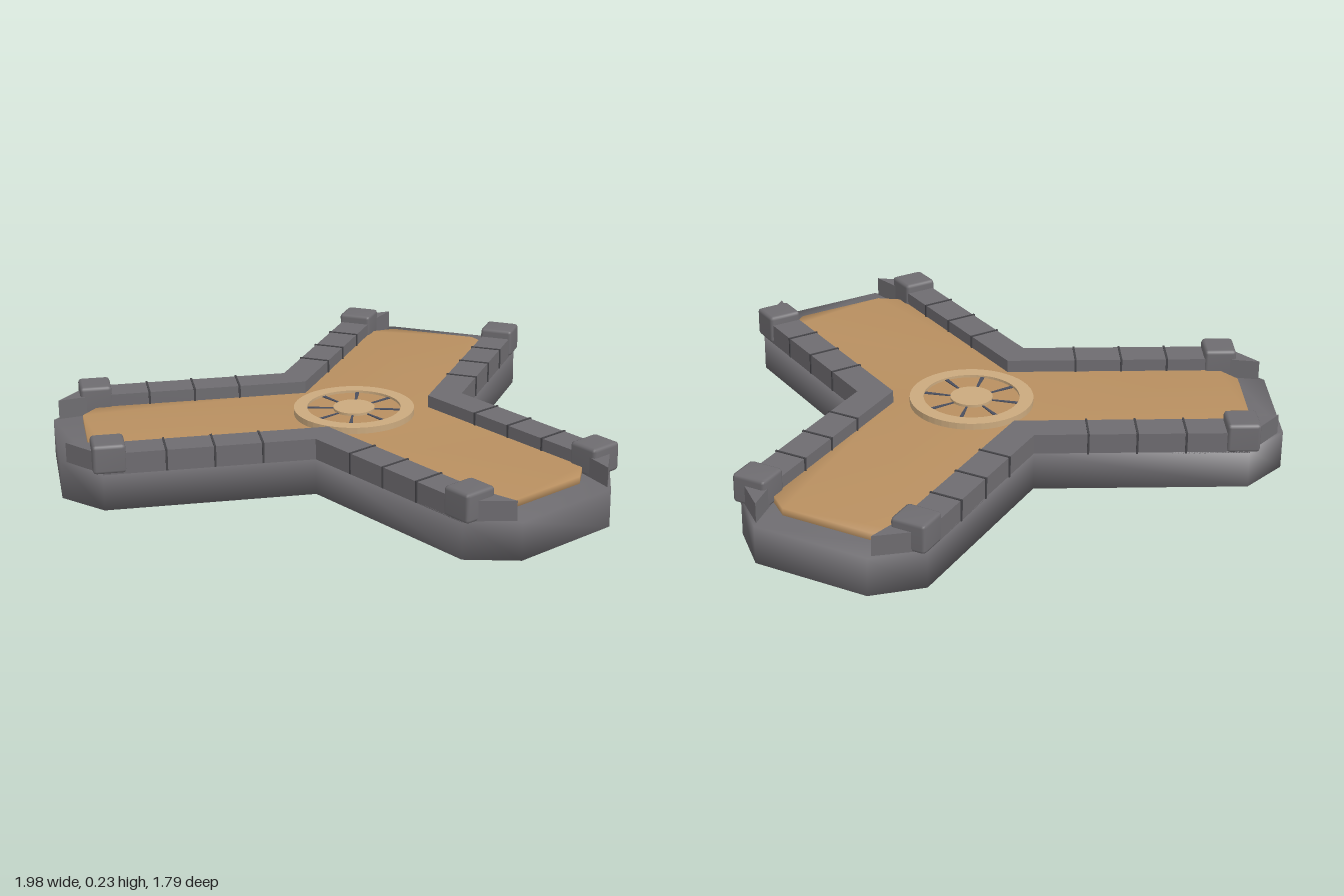
import * as THREE from 'three';
import { mergeVertices } from 'three/addons/utils/BufferGeometryUtils.js';
import { RoundedBoxGeometry } from 'three/addons/geometries/RoundedBoxGeometry.js';

const CENTER_Z = -0.14;
const ARMS = [0, 1, 2].map((k) => (k * Math.PI * 2) / 3);

const material = (name, color) => {
  const m = new THREE.MeshStandardMaterial({ color });
  m.name = name;
  return m;
};

// Arm coordinates: u across the arm, d outward from the hub
const place = (u, d, a) => new THREE.Vector2(
  d * Math.sin(a) + u * Math.cos(a),
  -(d * Math.cos(a) - u * Math.sin(a)),
);

// Shared vertices give soft shading across the edges
function soften(geometry) {
  geometry.deleteAttribute('normal');
  geometry.deleteAttribute('uv');
  const g = mergeVertices(geometry, 1e-4);
  g.computeVertexNormals();
  return g;
}

// Upright slab from a plan outline
function slab(shape, y0, y1, curveSegments = 12) {
  const g = new THREE.ExtrudeGeometry(shape, { depth: y1 - y0, bevelEnabled: false, curveSegments });
  return g.rotateX(-Math.PI / 2).translate(0, y0, 0);
}

// Three-armed outline with clipped arm ends
function armOutline(w, shoulder, e, end) {
  const pts = [];
  for (const a of ARMS) {
    for (const [u, d] of [[-w, shoulder], [-e, end], [e, end], [w, shoulder], [w, w / Math.sqrt(3)]]) {
      pts.push(place(u, d, a));
    }
  }
  return new THREE.Shape(pts);
}

export function createModel() {
  const stone = material('grey stone', 0x6e6c70);
  const seamDark = material('dark seam', 0x454448);
  const wood = material('tan floor', 0xb88f60);
  const pale = material('pale ring', 0xcaa97e);
  const slot = material('blue grey slot', 0x4b4f5e);

  const model = new THREE.Group();
  model.name = 'threeArmPlatform';
  const body = new THREE.Group();
  body.name = 'platform';
  body.position.z = CENTER_Z;
  model.add(body);

  const add = (parent, name, geometry, mat) => {
    const m = new THREE.Mesh(geometry, mat);
    m.name = name;
    parent.add(m);
    return m;
  };

  // Foundation and raised floor
  add(body, 'base', soften(slab(armOutline(0.335, 0.9, 0.2, 1.03), 0, 0.13)), stone);
  add(body, 'floor', soften(slab(armOutline(0.235, 0.87, 0.16, 0.93), 0.12, 0.155)), wood);

  // V-shaped walls between neighbouring arms, tapering to a point at each end
  const w = 0.335, n = 0.23, r3 = Math.sqrt(3);
  for (const a of ARMS) {
    const b = a + (Math.PI * 2) / 3;
    const wall = new THREE.Shape([
      place(n, 0.88, a), place(0.205, 1.01, a), place(w, 0.9, a), place(w, w / r3, a),
      place(-w, 0.9, b), place(-0.205, 1.01, b), place(-n, 0.88, b), place(n, n / r3, a),
    ]);
    const g = slab(wall, 0.125, 0.198);
    add(body, 'wall', g, stone);
  }

  // Corner posts and wall seams on both sides of every arm
  const postGeometry = soften(new RoundedBoxGeometry(0.12, 0.1, 0.11, 1, 0.012));
  const seamGeometry = new THREE.BoxGeometry(0.113, 0.074, 0.007);
  for (const a of ARMS) {
    const arm = new THREE.Group();
    arm.name = 'armDetails';
    arm.rotation.y = a;
    body.add(arm);
    for (const side of [-1, 1]) {
      add(arm, 'post', postGeometry, stone).position.set(side * 0.284, 0.179, 0.877);
      for (const d of [0.37, 0.53, 0.69]) {
        add(arm, 'wallSeam', seamGeometry, seamDark).position.set(side * 0.2825, 0.164, d);
      }
    }
  }

  // Round centrepiece: ring, sunken disc, hub and eight radial slots
  const wheel = new THREE.Group();
  wheel.name = 'centrepiece';
  body.add(wheel);
  const ring = new THREE.Shape().absarc(0, 0, 0.21, 0, Math.PI * 2, false);
  ring.holes.push(new THREE.Path().absarc(0, 0, 0.163, 0, Math.PI * 2, true));
  add(wheel, 'ring', slab(ring, 0.155, 0.177, 24), pale);
  add(wheel, 'disc', new THREE.CylinderGeometry(0.165, 0.165, 0.014, 48), wood).position.y = 0.161;
  add(wheel, 'hub', new THREE.CylinderGeometry(0.072, 0.072, 0.022, 32), pale).position.y = 0.166;
  for (let i = 0; i < 8; i++) {
    const t = (i * Math.PI) / 4;
    const spoke = new THREE.Shape([
      place(-0.003, 0.07, t), place(0.003, 0.07, t), place(0.007, 0.164, t), place(-0.007, 0.164, t),
    ]);
    add(wheel, 'radialSlot', slab(spoke, 0.166, 0.171), slot);
  }
  return model;
}
